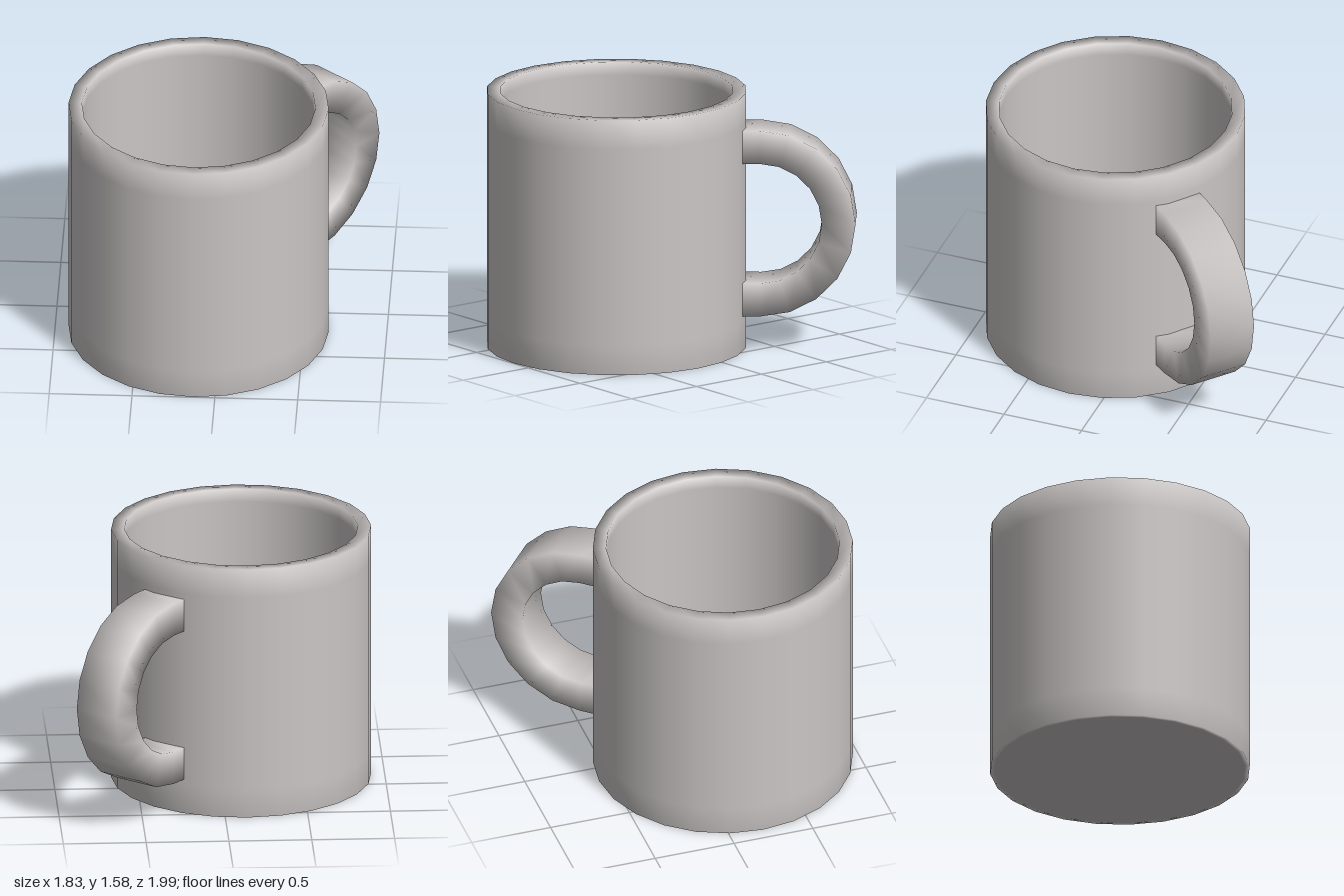
import * as THREE from 'three';

// Curved handle: a rectangular section swept along a straight-arc-straight path in local xy
function handleGeometry() {
  const midY = 0.79, arcX = 0.87, arcR = 0.473, startX = 0.725;
  const halfT = 0.102, halfW = 0.149, arcSteps = 10;
  const rings = [[startX, midY + arcR, Math.PI / 2]];
  for (let i = 0; i <= arcSteps; i++) {
    const a = Math.PI / 2 - (Math.PI * i) / arcSteps;
    rings.push([arcX + arcR * Math.cos(a), midY + arcR * Math.sin(a), a]);
  }
  rings.push([startX, midY - arcR, -Math.PI / 2]);

  const pos = [], index = [];
  const corners = [[1, 1], [-1, 1], [-1, -1], [1, -1]];
  rings.forEach(([x, y, a], i) => {
    for (const [n, b] of corners) {
      pos.push(x + Math.cos(a) * halfT * n, y + Math.sin(a) * halfT * n, halfW * b);
    }
    if (i === rings.length - 1) return;
    for (let c = 0; c < 4; c++) {
      const p = i * 4 + c, q = i * 4 + ((c + 1) % 4);
      index.push(p, q, p + 4, q, q + 4, p + 4);
    }
  });
  const g = new THREE.BufferGeometry();
  g.setAttribute('position', new THREE.Float32BufferAttribute(pos, 3));
  g.setIndex(index);
  g.computeVertexNormals();
  return g;
}

export function createModel() {
  const group = new THREE.Group();
  group.name = 'mug';
  const ceramic = new THREE.MeshStandardMaterial({ color: 0xcac6c5 });
  ceramic.name = 'warm grey ceramic';

  // Cup and handle share the cup's axis, off the model's centre
  const mug = new THREE.Group();
  mug.name = 'mugBody';
  mug.position.set(-0.135, 0, 0.212);
  mug.rotation.y = THREE.MathUtils.degToRad(50);
  group.add(mug);

  // Cup: base, outer wall, rim, inner wall and floor in one profile
  const profile = [
    [0, 0], [0.757, 0], [0.785, 0], [0.785, 0.18], [0.785, 1.4], [0.785, 1.58],
    [0.705, 1.58], [0.705, 1.5], [0.705, 0.18], [0.705, 0.08], [0.6, 0.08], [0, 0.08],
  ].map(([r, y]) => new THREE.Vector2(r, y));
  const cup = new THREE.Mesh(new THREE.LatheGeometry(profile, 24), ceramic);
  cup.name = 'cup';
  cup.rotation.y = -mug.rotation.y;
  mug.add(cup);

  const handle = new THREE.Mesh(handleGeometry(), ceramic);
  handle.name = 'handle';
  mug.add(handle);

  return group;
}
